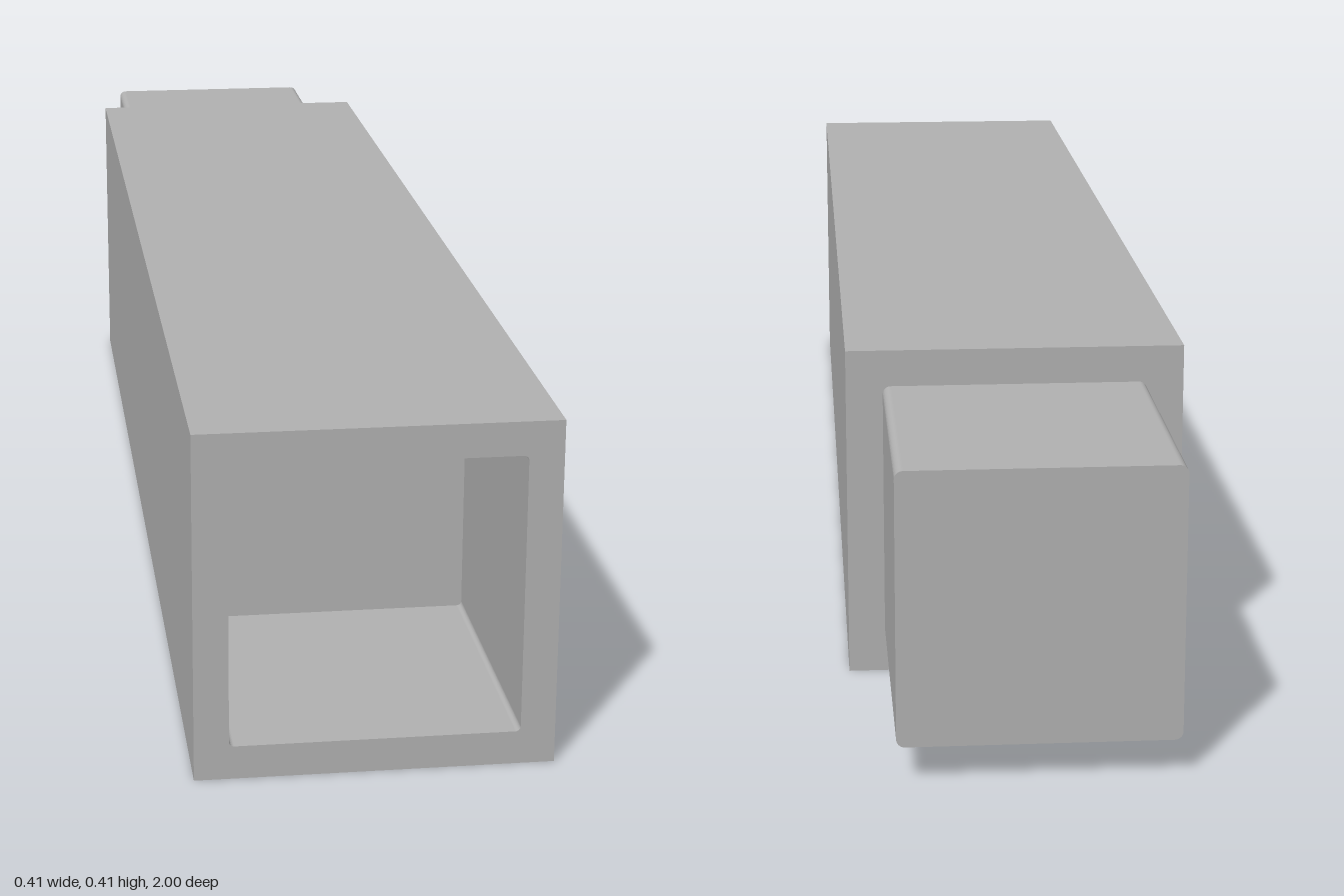
import * as THREE from 'three';

const SIZE = 0.414, MID = SIZE / 2;
const BACK = -0.655, SOCKET_FLOOR = 0.64;

// Square outline centred on the origin, with rounded corners
function roundedSquare(PathType, half, r) {
  const p = new PathType();
  const c = half - r;
  p.absarc(c, c, r, 0, Math.PI / 2);
  p.absarc(-c, c, r, Math.PI / 2, Math.PI);
  p.absarc(-c, -c, r, Math.PI, Math.PI * 1.5);
  p.absarc(c, -c, r, Math.PI * 1.5, Math.PI * 2);
  p.closePath();
  return p;
}

function plainSquare(half) {
  return new THREE.Shape([
    new THREE.Vector2(-half, -half), new THREE.Vector2(half, -half),
    new THREE.Vector2(half, half), new THREE.Vector2(-half, half),
  ]);
}

export function createModel() {
  const group = new THREE.Group();
  group.name = 'socketedBar';
  const grey = new THREE.MeshStandardMaterial({ color: 0xb2b2b2 });
  grey.name = 'grey';

  // Extrude a section along z between two positions
  const addBar = (name, shape, z0, z1) => {
    const geo = new THREE.ExtrudeGeometry(shape, { depth: z1 - z0, bevelEnabled: false, curveSegments: 6 });
    const mesh = new THREE.Mesh(geo, grey);
    mesh.name = name;
    mesh.position.set(0, MID, z0);
    group.add(mesh);
  };

  // Solid length of the bar
  addBar('barBody', plainSquare(MID), BACK, SOCKET_FLOOR);

  // Open square socket at the front
  const wall = plainSquare(MID);
  wall.holes.push(roundedSquare(THREE.Path, 0.167, 0.006));
  addBar('socketWall', wall, SOCKET_FLOOR, 1);

  // Tenon at the back, with softened long edges
  addBar('tenon', roundedSquare(THREE.Shape, 0.162, 0.01), -1, BACK);

  return group;
}
